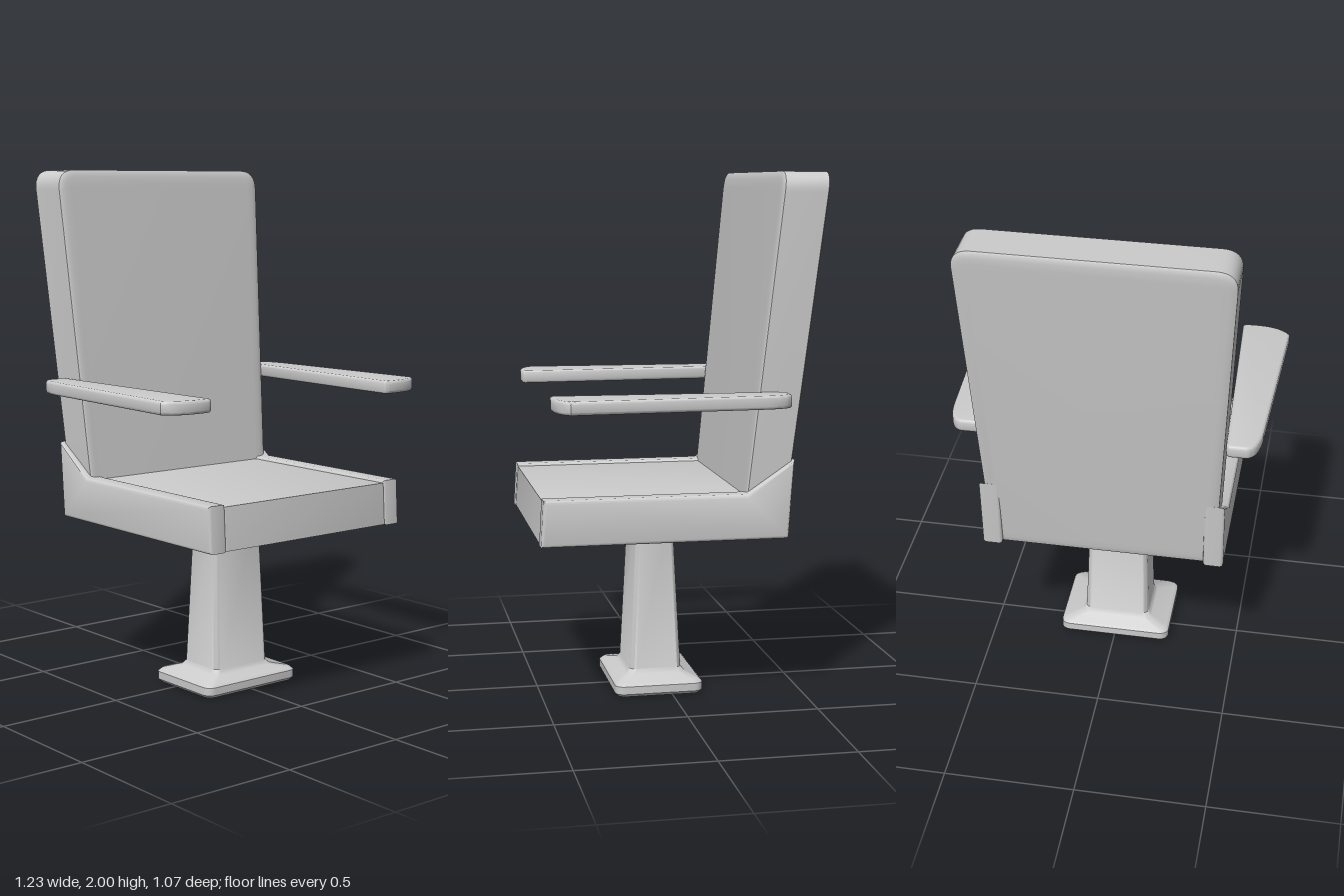
import * as THREE from 'three';
import { toCreasedNormals } from 'three/addons/utils/BufferGeometryUtils.js';

const material = new THREE.MeshStandardMaterial({ color: 0xcccccc, side: THREE.DoubleSide });

function part(name, geometry, crease = 0.6) {
  const mesh = new THREE.Mesh(toCreasedNormals(geometry, crease), material);
  mesh.name = name;
  return mesh;
}

// Extrusion whose rounded edges stay inside the outline and the depth
function slab(shape, depth, bevel) {
  return new THREE.ExtrudeGeometry(shape, {
    depth: depth - 2 * bevel, bevelThickness: bevel, bevelSize: bevel,
    bevelOffset: -bevel, bevelSegments: 3, curveSegments: 8,
  }).translate(0, 0, bevel);
}

// Side profile of [z, y] points, extruded across x from x0 to x1
function profileAcross(points, x0, x1, bevel) {
  const shape = new THREE.Shape(points.map(([z, y]) => new THREE.Vector2(z, y)));
  return slab(shape, x1 - x0, bevel).rotateY(-Math.PI / 2).translate(x1, 0, 0);
}

// Skin over rounded rectangles, each given as [y, halfX, halfZ, cornerRadius]
function loft(rings, centreZ) {
  const perCorner = 6, n = 4 * perCorner, positions = [], index = [];
  for (const [y, hx, hz, r] of rings) {
    for (let c = 0; c < 4; c++) {
      const sx = c === 0 || c === 3 ? 1 : -1, sz = c < 2 ? 1 : -1;
      for (let i = 0; i < perCorner; i++) {
        const a = (c + i / (perCorner - 1)) * Math.PI / 2;
        positions.push(sx * (hx - r) + r * Math.cos(a), y, centreZ + sz * (hz - r) + r * Math.sin(a));
      }
    }
  }
  for (let j = 0; j < rings.length - 1; j++) {
    for (let i = 0; i < n; i++) {
      const a = j * n + i, b = j * n + (i + 1) % n;
      index.push(a, a + n, b, b, a + n, b + n);
    }
  }
  const geometry = new THREE.BufferGeometry();
  geometry.setAttribute('position', new THREE.Float32BufferAttribute(positions, 3));
  geometry.setIndex(index);
  return geometry;
}

function createBackrest() {
  const bottom = 0.65, top = 2, wLow = 0.432, wHigh = 0.49, r = 0.075;
  const s = new THREE.Shape();
  s.moveTo(-wLow, bottom);
  s.lineTo(wLow, bottom);
  s.lineTo(wHigh, top - r);
  s.quadraticCurveTo(wHigh + 0.002, top, wHigh - r, top);
  s.lineTo(-wHigh + r, top);
  s.quadraticCurveTo(-wHigh - 0.002, top, -wHigh, top - r);
  s.closePath();
  const geometry = slab(s, 1, 0.05);
  // Lean the slab back between its front and rear planes
  const p = geometry.attributes.position;
  for (let i = 0; i < p.count; i++) {
    const y = p.getY(i);
    const front = -0.23 - (y - 0.82) * 0.106;
    const rear = -0.41 - (y - 0.945) * 0.1185;
    // keep the bevel evenly thin at both faces
    p.setZ(i, THREE.MathUtils.lerp(rear, front, p.getZ(i)));
  }
  return part('backrest', geometry, 0.5);
}

function createArmrest(side) {
  const s = new THREE.Shape();
  const P = (x) => x * side;
  s.moveTo(P(0.458), -0.36);
  s.lineTo(P(0.425), 0.485);
  s.quadraticCurveTo(P(0.427), 0.495, P(0.45), 0.497);
  s.quadraticCurveTo(P(0.575), 0.505, P(0.617), 0.445);
  s.lineTo(P(0.584), -0.27);
  s.quadraticCurveTo(P(0.575), -0.375, P(0.53), -0.377);
  s.lineTo(P(0.475), -0.377);
  s.quadraticCurveTo(P(0.46), -0.377, P(0.458), -0.36);
  const geometry = slab(s, 0.05, 0.01).rotateX(Math.PI / 2).translate(0, 1.2, 0);
  return part(side > 0 ? 'leftArmrest' : 'rightArmrest', geometry);
}

export function createModel() {
  const group = new THREE.Group();
  group.name = 'chair';

  // Hollow flared foot and tapered column, inner skin first
  group.add(part('pedestal', loft([
    [0.6, 0.1, 0.06, 0.02],
    [0.07, 0.115, 0.088, 0.02],
    [0.045, 0.185, 0.135, 0.02],
    [0, 0.19, 0.14, 0.02],
    [0, 0.213, 0.16, 0.03],
    [0.012, 0.224, 0.171, 0.035],
    [0.042, 0.224, 0.171, 0.035],
    [0.054, 0.212, 0.16, 0.035],
    [0.068, 0.145, 0.115, 0.03],
    [0.085, 0.131, 0.102, 0.025],
    [0.66, 0.113, 0.073, 0.02],
  ], 0.05), 0.7));

  // Seat cushion, a touch lower than its side panels
  group.add(part('seatCushion', profileAcross(
    [[0.533, 0.653], [0.523, 0.813], [-0.3, 0.813], [-0.36, 0.653]], -0.395, 0.395, 0.006)));

  // Side panels rising behind to hold the backrest
  const panel = [[0.535, 0.65], [0.525, 0.822], [-0.23, 0.822], [-0.41, 0.945], [-0.39, 0.65]];
  group.add(part('leftSidePanel', profileAcross(panel, 0.39, 0.467, 0.012)));
  group.add(part('rightSidePanel', profileAcross(panel, -0.467, -0.39, 0.012)));

  group.add(createBackrest());
  for (const side of [1, -1]) group.add(createArmrest(side));
  return group;
}
